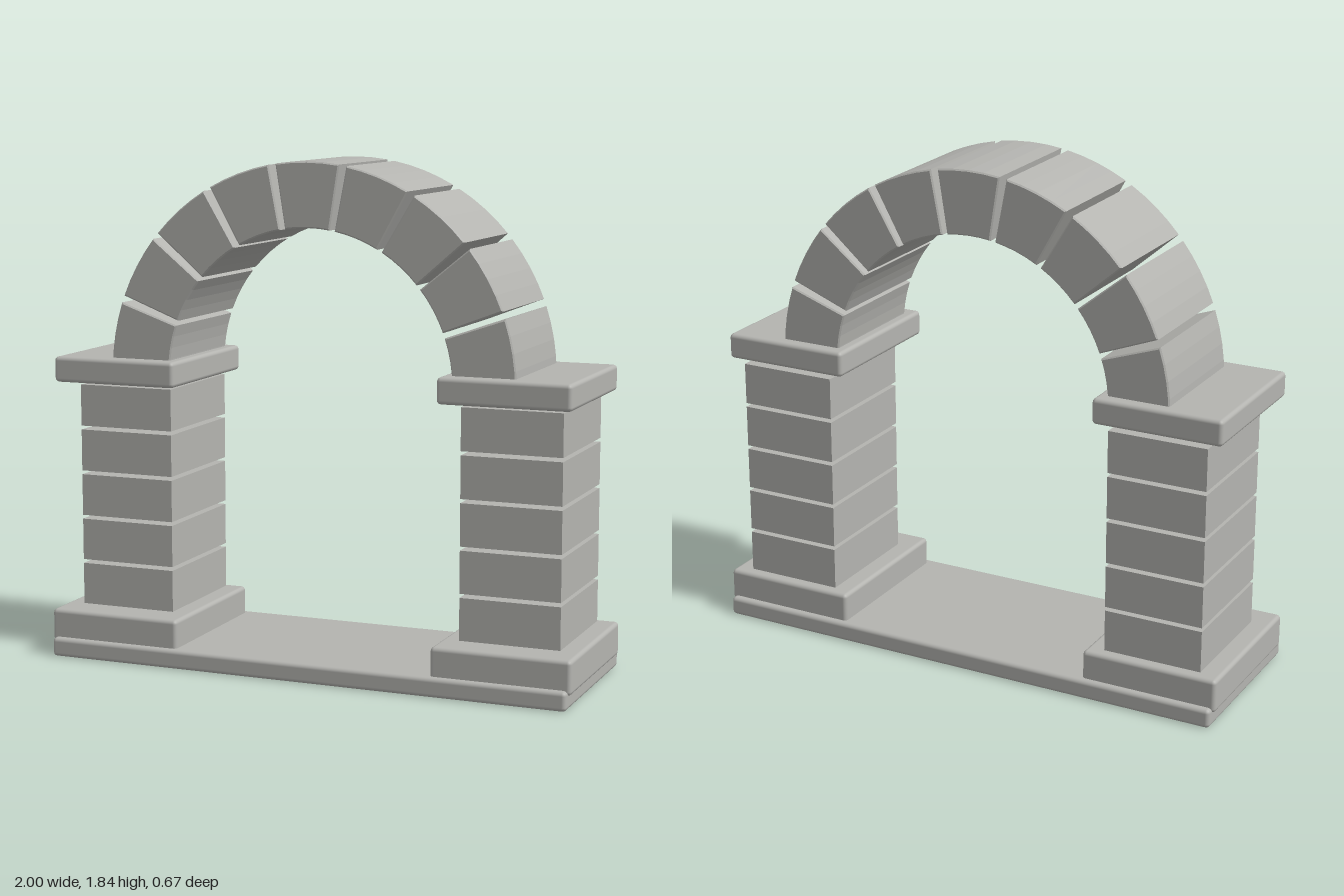
import * as THREE from 'three';
import { RoundedBoxGeometry } from 'three/addons/geometries/RoundedBoxGeometry.js';

const stone = new THREE.MeshStandardMaterial({ color: 0xb4b4b0 });
stone.name = 'stone';

function add(parent, name, geometry, x, y, z) {
  const mesh = new THREE.Mesh(geometry, stone);
  mesh.name = name;
  mesh.position.set(x, y, z);
  parent.add(mesh);
  return mesh;
}

// Wedge stone centred on straight up, with its origin at the arch centre
function wedgeGeometry(inner, outer, halfAngle, depth, segments, bevel) {
  const shape = new THREE.Shape();
  const point = (r, a) => [r * Math.sin(a), r * Math.cos(a)];
  shape.moveTo(...point(inner, -halfAngle));
  for (let i = 1; i <= segments; i++) {
    shape.lineTo(...point(inner, -halfAngle + (2 * halfAngle * i) / segments));
  }
  for (let i = segments; i >= 0; i--) {
    shape.lineTo(...point(outer, -halfAngle + (2 * halfAngle * i) / segments));
  }
  shape.closePath();
  const geometry = new THREE.ExtrudeGeometry(shape, {
    depth: depth - 2 * bevel,
    bevelEnabled: true,
    bevelThickness: bevel,
    bevelSize: bevel,
    bevelOffset: -bevel,
    bevelSegments: 1,
  });
  return geometry.translate(0, 0, -depth / 2 + bevel);
}

export function createModel() {
  const model = new THREE.Group();
  model.name = 'stoneArch';

  // Ground slab
  add(model, 'groundSlab', new RoundedBoxGeometry(1.98, 0.07, 0.665, 2, 0.015), 0, 0.035, 0);

  // Piers: base, five courses with open joints, and cap
  const baseGeometry = new RoundedBoxGeometry(0.51, 0.124, 0.615, 2, 0.015);
  const courseGeometry = new THREE.BoxGeometry(0.369, 0.154, 0.463);
  const capGeometry = new RoundedBoxGeometry(0.482, 0.094, 0.578, 2, 0.015);
  for (const side of [-1, 1]) {
    const pier = new THREE.Group();
    pier.name = side > 0 ? 'leftPier' : 'rightPier';
    add(pier, 'pierBase', baseGeometry, side * 0.745, 0.112, 0);
    for (let i = 0; i < 5; i++) {
      add(pier, 'pierCourse', courseGeometry, side * 0.743, 0.254 + i * 0.1685, -0.038);
    }
    add(pier, 'pierCap', capGeometry, side * 0.742, 1.071, 0.004);
    model.add(pier);
  }

  // Arch ring of nine wedge stones, the keystone in the middle
  const arch = new THREE.Group();
  arch.name = 'arch';
  const step = Math.PI / 9;
  const wedge = wedgeGeometry(0.54, 0.772, step * 0.45, 0.474, 4, 0.005);
  for (let i = -4; i <= 4; i++) {
    const name = i === 0 ? 'keystone' : 'archStone';
    add(arch, name, wedge, 0, 1.07, 0).rotation.z = -i * step;
  }
  model.add(arch);

  return model;
}
